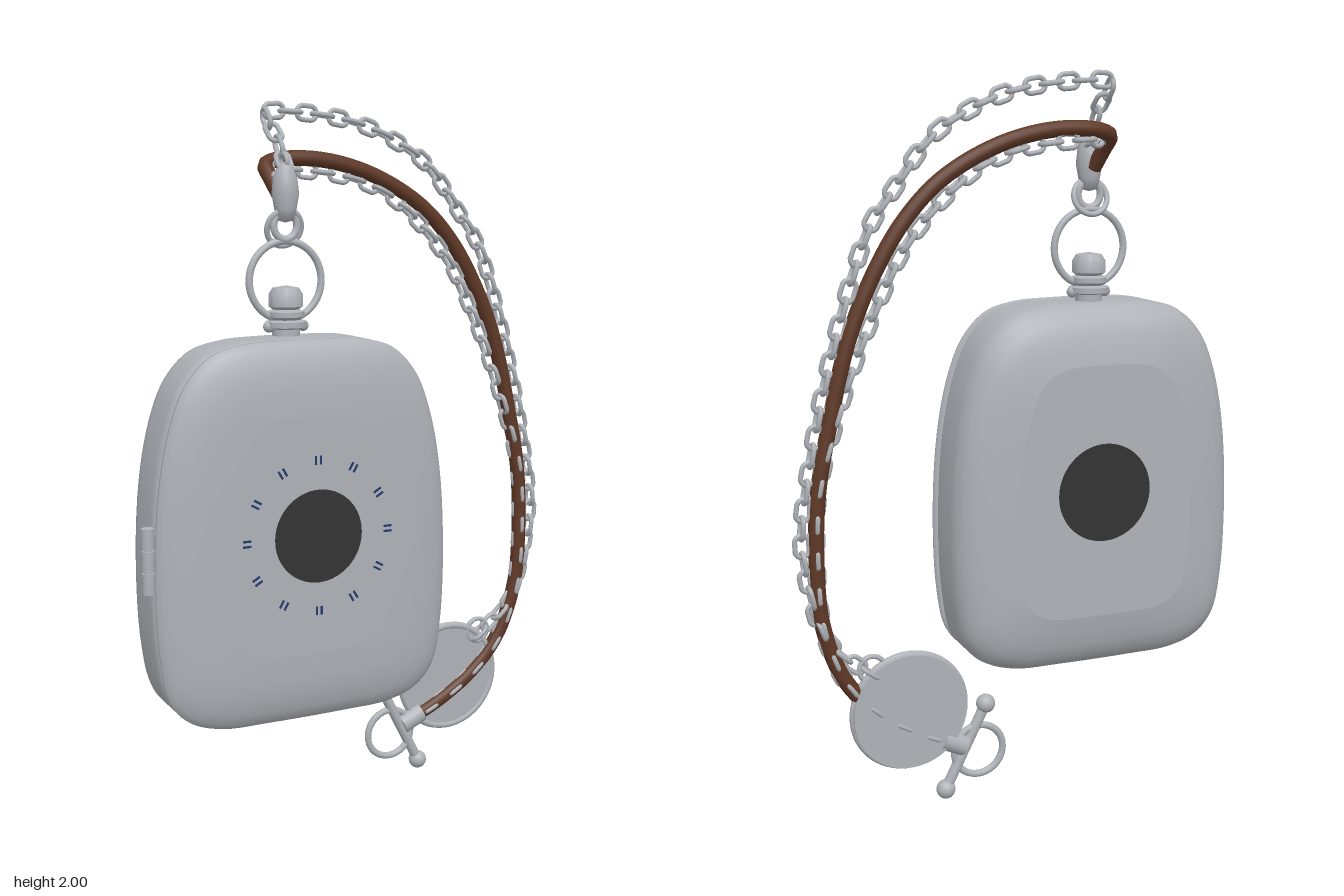
import * as THREE from 'three';
import { mergeGeometries, toCreasedNormals } from 'three/addons/utils/BufferGeometryUtils.js';

const mat = (name, color) => {
  const m = new THREE.MeshStandardMaterial({ color });
  m.name = name;
  return m;
};
const V = (x, y, z) => new THREE.Vector3(x, y, z);

export function createModel() {
  const root = new THREE.Group();
  root.name = 'pocketWatch';
  const silver = mat('silver', 0xaeb2b7);
  const dark = mat('darkGlass', 0x333333);
  const leather = mat('brownLeather', 0x5e3826);
  const blue = mat('blueEnamel', 0x24386e);

  const add = (name, geo, material, pos = [0, 0, 0], parent = root) => {
    const mesh = new THREE.Mesh(geo, material);
    mesh.name = name;
    mesh.position.set(...pos);
    parent.add(mesh);
    return mesh;
  };
  // Cylinder between two points
  const rod = (name, a, b, r) => {
    const m = add(name, new THREE.CylinderGeometry(r, r, a.distanceTo(b), 20), silver);
    m.position.copy(a).add(b).multiplyScalar(0.5);
    m.quaternion.setFromUnitVectors(V(0, 1, 0), b.clone().sub(a).normalize());
    return m;
  };

  // Case outline: right half from bottom to top, mirrored into a closed curve
  const CX = -0.222, CY = 0.85;
  const half = [[0.12, 0.325], [0.25, 0.33], [0.34, 0.36], [0.395, 0.42], [0.42, 0.53], [0.43, 0.75],
    [0.415, 1.0], [0.38, 1.17], [0.335, 1.275], [0.265, 1.345], [0.18, 1.37], [0.08, 1.376]];
  const loop = [...half, ...half.map(([x, y]) => [-x, y]).reverse()];
  const outline = new THREE.CatmullRomCurve3(loop.map(([x, y]) => V(x, y - CY, 0)), true).getPoints(120).slice(0, -1);

  // Shell from inset outlines, listed front to back as [z, inset], with flat caps
  const shell = (sections) => {
    const n = outline.length, pos = [], idx = [];
    const ring = ([z, d]) => {
      for (const p of outline) pos.push(CX + p.x * (1 - d / 0.43), CY + p.y * (1 - d / 0.525), z);
    };
    sections.forEach(ring);
    for (let i = 0; i < sections.length - 1; i++) {
      for (let j = 0; j < n; j++) {
        const k = (j + 1) % n, a = i * n + j, b = a + n, a2 = i * n + k, b2 = a2 + n;
        idx.push(a, b, a2, b, b2, a2);
      }
    }
    [sections[0], sections.at(-1)].forEach((s, end) => {
      const base = pos.length / 3, c = base + n;
      ring(s);
      pos.push(CX, CY, s[0]);
      for (let j = 0; j < n; j++) {
        const k = (j + 1) % n;
        idx.push(c, base + (end ? k : j), base + (end ? j : k));
      }
    });
    const g = new THREE.BufferGeometry();
    g.setAttribute('position', new THREE.Float32BufferAttribute(pos, 3));
    g.setIndex(idx);
    g.computeVertexNormals();
    return g;
  };
  add('caseBody', shell([[0.088, 0.04], [0.085, 0.02], [0.075, 0.006], [0.055, 0], [-0.045, 0], [-0.075, 0.005],
    [-0.1, 0.02], [-0.12, 0.045], [-0.134, 0.08], [-0.145, 0.125], [-0.152, 0.165]]), silver);
  add('caseLid', shell([[0.154, 0.2], [0.151, 0.13], [0.144, 0.08], [0.133, 0.04], [0.12, 0.015], [0.107, 0.001],
    [0.099, 0], [0.094, 0.008], [0.092, 0.03]]), silver);

  // Dark round windows, front and back
  const disc = (r) => new THREE.CylinderGeometry(r, r, 0.006, 64).rotateX(Math.PI / 2);
  add('frontWindow', disc(0.128), dark, [-0.206, CY, 0.154]);
  add('backWindow', disc(0.14), dark, [-0.215, CY, -0.152]);

  // Ring of blue hour marks, each a pair of small strokes
  const marks = new THREE.Group();
  marks.name = 'hourMarks';
  root.add(marks);
  for (let i = 0; i < 12; i++) {
    const a = (i * Math.PI) / 6;
    for (const s of [-1, 1]) {
      const t = a + s * 0.035;
      const m = add('hourMark', new THREE.BoxGeometry(0.006, 0.024, 0.004), blue,
        [-0.206 + Math.sin(t) * 0.208, CY + Math.cos(t) * 0.208, 0.1535], marks);
      m.rotation.z = -a;
    }
  }

  // Hinge
  for (let i = 0; i < 3; i++) {
    add('hingeKnuckle', new THREE.CylinderGeometry(0.017, 0.017, 0.056, 20), silver, [-0.667, 0.76 + i * 0.06, 0.095]);
  }
  add('hingePin', new THREE.CylinderGeometry(0.012, 0.012, 0.17, 16), silver, [-0.667, 0.82, 0.095]);
  add('hingePlate', new THREE.SphereGeometry(1, 24, 16).scale(0.012, 0.075, 0.04), silver, [-0.65, 0.82, 0.055]);

  // Stem, crown and bow
  const SZ = -0.016;
  const crown = [[0, 1.35], [0.038, 1.35], [0.038, 1.395], [0.056, 1.4], [0.056, 1.415], [0.04, 1.42], [0.05, 1.428],
    [0.05, 1.442], [0.036, 1.448], [0.047, 1.456], [0.047, 1.488], [0.036, 1.506], [0, 1.512]];
  add('crown', toCreasedNormals(new THREE.LatheGeometry(crown.map(([x, y]) => new THREE.Vector2(x, y)), 32), 0.6),
    silver, [CX, 0, SZ]);
  for (const s of [-1, 1]) {
    add('bowPivot', new THREE.SphereGeometry(0.016, 16, 12), silver, [CX + s * 0.05, 1.402, SZ]);
  }
  add('bow', new THREE.TorusGeometry(0.106, 0.01, 12, 64), silver, [CX, 1.525, SZ]);

  // Clasp with its hook and end loop
  const clasp = [[0, -0.075], [0.022, -0.07], [0.03, -0.04], [0.037, 0], [0.033, 0.04], [0.02, 0.075], [0, 0.085]];
  add('claspBody', new THREE.LatheGeometry(clasp.map(([x, y]) => new THREE.Vector2(x, y)), 28), silver, [CX, 1.755, -0.012]);
  add('claspHook', new THREE.TorusGeometry(0.034, 0.01, 12, 32).scale(1, 1.1, 1), silver, [CX, 1.672, -0.014]);
  const loopRing = add('claspRing', new THREE.TorusGeometry(0.05, 0.008, 10, 32), silver, [CX, 1.665, -0.022]);
  loopRing.rotation.x = 0.3;
  add('claspLoop', new THREE.TorusGeometry(0.02, 0.007, 10, 24).rotateY(Math.PI / 2), silver, [CX, 1.84, -0.018]);

  // Strap paths hang in one plane behind the clasp
  const PZ = -0.123;
  const path = (start, pts) => new THREE.CatmullRomCurve3(
    [...start.map((p) => V(...p)), ...pts.map(([x, y]) => V(x, y, PZ))], false, 'centripetal');
  const lower = [[0.6, 0.92], [0.61, 0.73], [0.597, 0.55], [0.537, 0.387], [0.44, 0.28], [0.326, 0.207], [0.25, 0.172]];
  const cordPath = path([[-0.225, 1.745, -0.035], [-0.238, 1.795, -0.07], [-0.24, 1.83, -0.105]],
    [[-0.2, 1.846], [-0.07, 1.848], [0.088, 1.81], [0.247, 1.725], [0.353, 1.62], [0.443, 1.475], [0.51, 1.315],
      [0.565, 1.1], ...lower]);
  const innerPath = path([[-0.222, 1.8, -0.03], [-0.225, 1.82, -0.08]],
    [[-0.18, 1.822], [0.01, 1.802], [0.14, 1.755], [0.247, 1.672], [0.353, 1.55], [0.42, 1.425], [0.485, 1.28],
      [0.54, 1.13], ...lower]);
  const outerPath = path([[-0.222, 1.84, -0.02], [-0.225, 1.91, -0.07]],
    [[-0.228, 1.97], [-0.145, 1.975], [0.04, 1.95], [0.17, 1.9], [0.277, 1.83], [0.38, 1.7], [0.445, 1.607],
      [0.505, 1.45], [0.567, 1.236], [0.604, 1.077], [0.643, 0.865], [0.648, 0.785], [0.63, 0.65], [0.592, 0.52],
      [0.53, 0.45], [0.47, 0.405]]);

  add('leatherCord', new THREE.TubeGeometry(cordPath, 140, 0.0215, 14), leather);

  // Oval link: a torus pulled apart along its length
  const link = new THREE.TorusGeometry(0.019, 0.007, 7, 18);
  const lp = link.attributes.position;
  for (let i = 0; i < lp.count; i++) lp.setX(i, lp.getX(i) + Math.sign(lp.getX(i)) * 0.011);

  // Links follow a path, every second one turned a quarter
  const chain = (name, curve) => {
    const count = Math.round(curve.getLength() / 0.049), links = [];
    for (let i = 0; i <= count; i++) {
      const t = curve.getTangentAt(i / count);
      const side = V(0, 0, 1).cross(t).normalize();
      const m = new THREE.Matrix4().makeBasis(t, side, t.clone().cross(side));
      if (i % 2) m.multiply(new THREE.Matrix4().makeRotationX(Math.PI / 2));
      m.setPosition(curve.getPointAt(i / count));
      links.push(link.clone().applyMatrix4(m));
    }
    add(name, mergeGeometries(links), silver);
  };
  chain('innerChain', innerPath);
  chain('outerChain', outerPath);

  // Round medal with raised rim and jump ring
  add('medal', new THREE.CylinderGeometry(0.163, 0.163, 0.026, 64).rotateX(Math.PI / 2), silver, [0.361, 0.282, -0.132]);
  add('medalRim', new THREE.TorusGeometry(0.16, 0.011, 10, 72), silver, [0.361, 0.282, -0.126]);
  add('medalRing', new THREE.TorusGeometry(0.036, 0.007, 10, 32), silver, [0.465, 0.415, PZ]);

  // Toggle bar, cord end cap and ring
  const top = V(0.135, 0.265, PZ), bottom = V(0.256, 0.027, PZ);
  rod('toggleBar', top, bottom, 0.015);
  for (const p of [top, bottom]) add('toggleBall', new THREE.SphereGeometry(0.027, 20, 14), silver, p.toArray());
  rod('cordCap', V(0.2, 0.15, PZ), V(0.265, 0.18, PZ), 0.03);
  add('toggleRing', new THREE.TorusGeometry(0.073, 0.01, 10, 40), silver, [0.157, 0.13, PZ]);

  return root;
}
